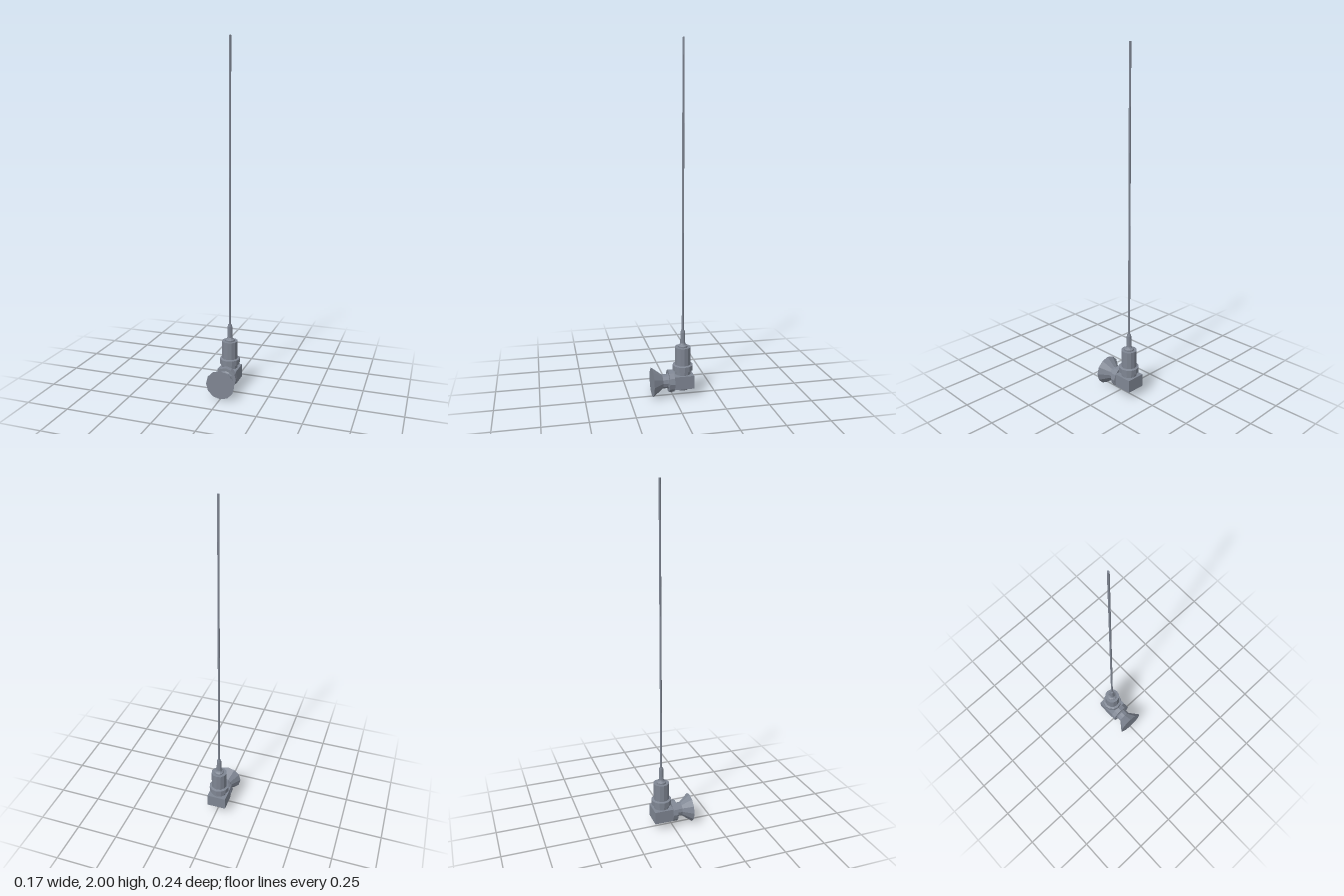
import * as THREE from 'three';

const material = new THREE.MeshStandardMaterial({ color: 0x7f8693, flatShading: true });

function add(parent, name, geometry) {
  const mesh = new THREE.Mesh(geometry, material);
  mesh.name = name;
  parent.add(mesh);
  return mesh;
}

// Turned part from [radius, height] pairs, bottom to top
const turned = (profile, sides) =>
  new THREE.LatheGeometry(profile.map(([r, h]) => new THREE.Vector2(r, h)), sides);

export function createModel() {
  const model = new THREE.Group();
  model.name = 'whipAntenna';

  // Upright column: bottom cap, elbow block, threaded body and whip
  const column = new THREE.Group();
  column.name = 'antennaColumn';
  column.position.set(-0.0015, 0, -0.0605);
  model.add(column);

  add(column, 'elbowBlock', new THREE.BoxGeometry(0.113, 0.076, 0.113)).position.y = 0.086;
  add(column, 'bottomCap', turned([[0, 0.03], [0.032, 0.03], [0.042, 0.048]], 8));
  add(column, 'neck', turned([[0.046, 0.12], [0.046, 0.15]], 12));
  add(column, 'collar', turned(
    [[0, 0.148], [0.059, 0.148], [0.059, 0.178], [0.045, 0.182]], 12));
  add(column, 'body', turned(
    [[0.046, 0.178], [0.046, 0.284], [0.029, 0.284], [0.029, 0.292], [0.02, 0.298], [0, 0.298]], 12));
  add(column, 'strainRelief', turned(
    [[0.02, 0.296], [0.015, 0.306], [0.0135, 0.37], [0.011, 0.382], [0, 0.382]], 10));
  add(column, 'whip', turned([[0.006, 0.38], [0.006, 2], [0, 2]], 8));

  // Forward connector: ring, neck and flared mouth along +z
  const connector = new THREE.Group();
  connector.name = 'connector';
  connector.position.y = 0.0845;
  connector.rotation.x = Math.PI / 2;
  model.add(connector);

  add(connector, 'connectorRing', turned(
    [[0, -0.004], [0.063, -0.004], [0.063, 0.026], [0, 0.026]], 12));
  add(connector, 'connectorNeck', turned([[0.046, 0.026], [0.04, 0.032], [0.04, 0.061]], 12));
  add(connector, 'flaredMouth', turned([[0.04, 0.061], [0.084, 0.119], [0, 0.119]], 12));

  return model;
}
